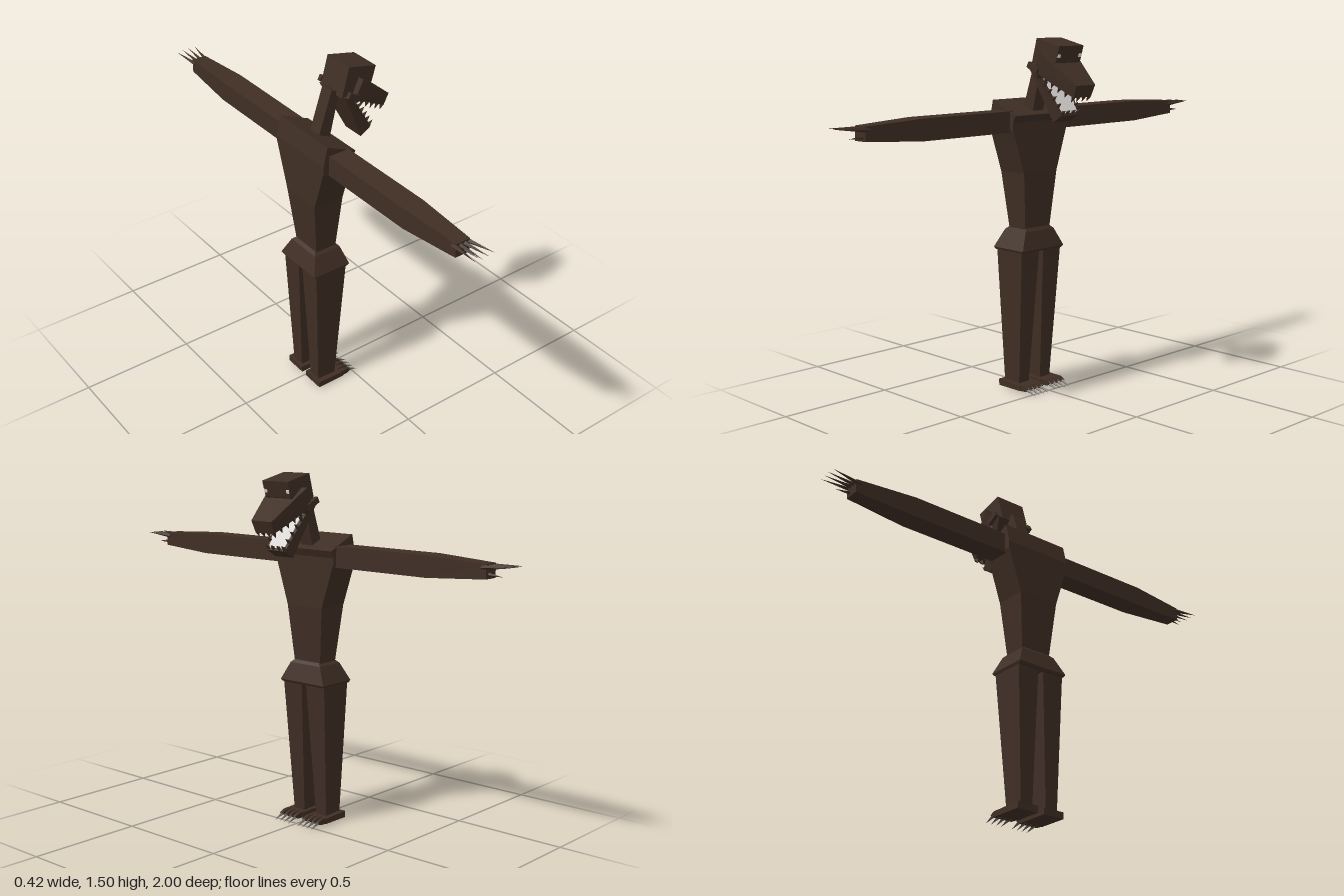
import * as THREE from 'three';

const mat = (name, color) => {
  const m = new THREE.MeshStandardMaterial({ color });
  m.name = name;
  return m;
};

// Flat-faced solid through a row of equal-length rings, always turned outward
function loft(rings) {
  const tris = [], n = rings[0].length, last = rings[rings.length - 1];
  for (let k = 0; k + 1 < rings.length; k++)
    for (let i = 0; i < n; i++) {
      const j = (i + 1) % n, a = rings[k], b = rings[k + 1];
      tris.push([a[i], a[j], b[j]], [a[i], b[j], b[i]]);
    }
  for (let i = 1; i + 1 < n; i++)
    tris.push([rings[0][0], rings[0][i + 1], rings[0][i]], [last[0], last[i], last[i + 1]]);
  const v = p => new THREE.Vector3(...p);
  let volume = 0;
  for (const t of tris) volume += v(t[0]).dot(v(t[1]).cross(v(t[2])));
  if (volume < 0) tris.forEach(t => t.reverse());
  const g = new THREE.BufferGeometry();
  g.setAttribute('position', new THREE.Float32BufferAttribute(tris.flat(2), 3));
  g.computeVertexNormals();
  return g;
}

const ringY = (y, x0, x1, z0, z1) => [[x0, y, z0], [x0, y, z1], [x1, y, z1], [x1, y, z0]];
const ringZ = (z, x0, x1, y0, y1) => [[x0, y0, z], [x1, y0, z], [x1, y1, z], [x0, y1, z]];
// Side profile of [x, y, halfWidth] points, mirrored across z
const slab = pts => loft([pts.map(([x, y, w]) => [x, y, -w]), pts.map(([x, y, w]) => [x, y, w])]);

// Four-sided spike from one point to another
function spike(from, to, r) {
  const a = new THREE.Vector3(...from), d = new THREE.Vector3(...to).sub(a);
  const g = new THREE.ConeGeometry(r, d.length(), 4).toNonIndexed();
  g.computeVertexNormals();
  g.translate(0, d.length() / 2, 0);
  g.applyQuaternion(new THREE.Quaternion().setFromUnitVectors(new THREE.Vector3(0, 1, 0), d.clone().normalize()));
  return g.translate(a.x, a.y, a.z);
}

export function createModel() {
  const root = new THREE.Group();
  root.name = 'creature';
  const fur = mat('dark brown fur', 0x3f2e24);
  const ivory = mat('pale mouth', 0xdcd8d6);
  const clawGrey = mat('grey claw', 0x6a6460);
  const add = (name, geo, m = fur) => {
    const mesh = new THREE.Mesh(geo, m);
    mesh.name = name;
    root.add(mesh);
  };

  // Trunk
  add('torso', loft([
    ringY(0.69, -0.165, -0.07, -0.07, 0.07),
    ringY(0.945, -0.19, -0.05, -0.095, 0.095),
    ringY(1.135, -0.19, -0.05, -0.157, 0.157)]));
  add('shoulders', slab([[-0.19, 1.13], [-0.05, 1.13], [-0.05, 1.16], [-0.035, 1.19], [-0.17, 1.25], [-0.19, 1.165]]
    .map(p => [...p, 0.158])));
  add('pelvis', loft([
    ringY(0.61, -0.205, -0.04, -0.115, 0.115),
    ringY(0.62, -0.212, -0.033, -0.12, 0.12),
    ringY(0.695, -0.182, -0.055, -0.083, 0.083),
    ringY(0.708, -0.17, -0.065, -0.068, 0.068)]));
  add('neck', slab([[-0.125, 1.2, 0.03], [-0.07, 1.18, 0.03], [-0.018, 1.39, 0.03], [-0.055, 1.405, 0.03]]));

  // Head and open jaws
  add('skull', slab([[-0.035, 1.38, 0.07], [0.02, 1.37, 0.07], [0.11, 1.41, 0.07], [0.13, 1.475, 0.07], [0, 1.505, 0.07]]));
  add('upperJaw', slab([[0.01, 1.37, 0.095], [0.19, 1.27, 0.05], [0.21, 1.32, 0.055], [0.047, 1.45, 0.1]]));
  add('lowerJaw', slab([[-0.03, 1.385, 0.085], [0.075, 1.165, 0.05], [0.125, 1.195, 0.05], [0.008, 1.375, 0.085]]));
  add('mouthLining', slab([[0.025, 1.335, 0.062], [0.112, 1.2, 0.042], [0.123, 1.205, 0.042], [0.032, 1.345, 0.062]]), ivory);

  // Teeth along both jaw edges, across the tips
  const jaws = [
    { name: 'upperTooth', a: [0.03, 1.36, 0.083], b: [0.184, 1.274, 0.045], d: [-0.012, -0.022] },
    { name: 'lowerTooth', a: [0.025, 1.348, 0.074], b: [0.12, 1.203, 0.043], d: [0.02, 0.013] }];
  for (const { name, a, b, d } of jaws) {
    const tooth = (x, y, z) => add(name, spike([x, y, z], [x + d[0], y + d[1], z], 0.011));
    for (let i = 0; i < 6; i++) {
      const [x, y, z] = a.map((c, k) => c + (b[k] - c) * i / 5);
      tooth(x, y, z);
      tooth(x, y, -z);
    }
    for (const z of [-0.016, 0.016]) tooth(b[0], b[1], z);
  }

  for (const s of [-1, 1]) {
    const side = s > 0 ? 'left' : 'right';

    // Eye on the brow front, cheek hinge beside the jaw
    const eye = new THREE.BoxGeometry(0.006, 0.014, 0.014);
    eye.rotateZ(-0.28).translate(0.118, 1.435, s * 0.06);
    add(side + 'Eye', eye, ivory);
    const hinge = new THREE.BoxGeometry(0.06, 0.025, 0.016).toNonIndexed();
    hinge.rotateZ(-0.5).translate(0.005, 1.385, s * 0.094);
    add(side + 'JawHinge', hinge);

    // Arm tapering to the hand
    add(side + 'Arm', loft([
      ringZ(s * 0.14, -0.163, -0.068, 1.12, 1.208),
      ringZ(s * 0.61, -0.163, -0.068, 1.12, 1.208),
      ringZ(s * 0.88, -0.145, -0.08, 1.137, 1.195)]));
    for (let i = 0; i < 4; i++) {
      const t = i / 3;
      add(side + 'Finger', spike(
        [-0.141 + 0.057 * t, 1.181, s * 0.86], [-0.157 + 0.092 * t, 1.19, s * (i % 3 ? 1 : 0.992)], 0.011));
    }
    add(side + 'Thumb', spike([-0.1, 1.155, s * 0.86], [-0.095, 1.15, s * 0.945], 0.01));

    // Leg, foot, toes and claws
    add(side + 'Leg', loft([
      ringY(0.03, -0.178, -0.09, s * 0.034, s * 0.091),
      ringY(0.62, -0.198, -0.046, s * 0.012, s * 0.114)]));
    add(side + 'Foot', slab([[-0.19, 0.01, 0.05], [-0.06, 0.01, 0.05], [-0.06, 0.033, 0.05], [-0.19, 0.038, 0.05]])
      .translate(0, 0, s * 0.065));
    for (let i = 0; i < 4; i++) {
      const z = s * (0.027 + 0.0253 * i);
      add(side + 'Toe', slab([[-0.07, 0.01, 0.01], [-0.03, 0.012, 0.009], [-0.015, 0.024, 0.008], [-0.04, 0.035, 0.009], [-0.07, 0.035, 0.01]])
        .translate(0, 0, z));
      add(side + 'ToeClaw', spike([-0.025, 0.021, z], [0.025, 0.002, z], 0.009), clawGrey);
    }
  }
  return root;
}
